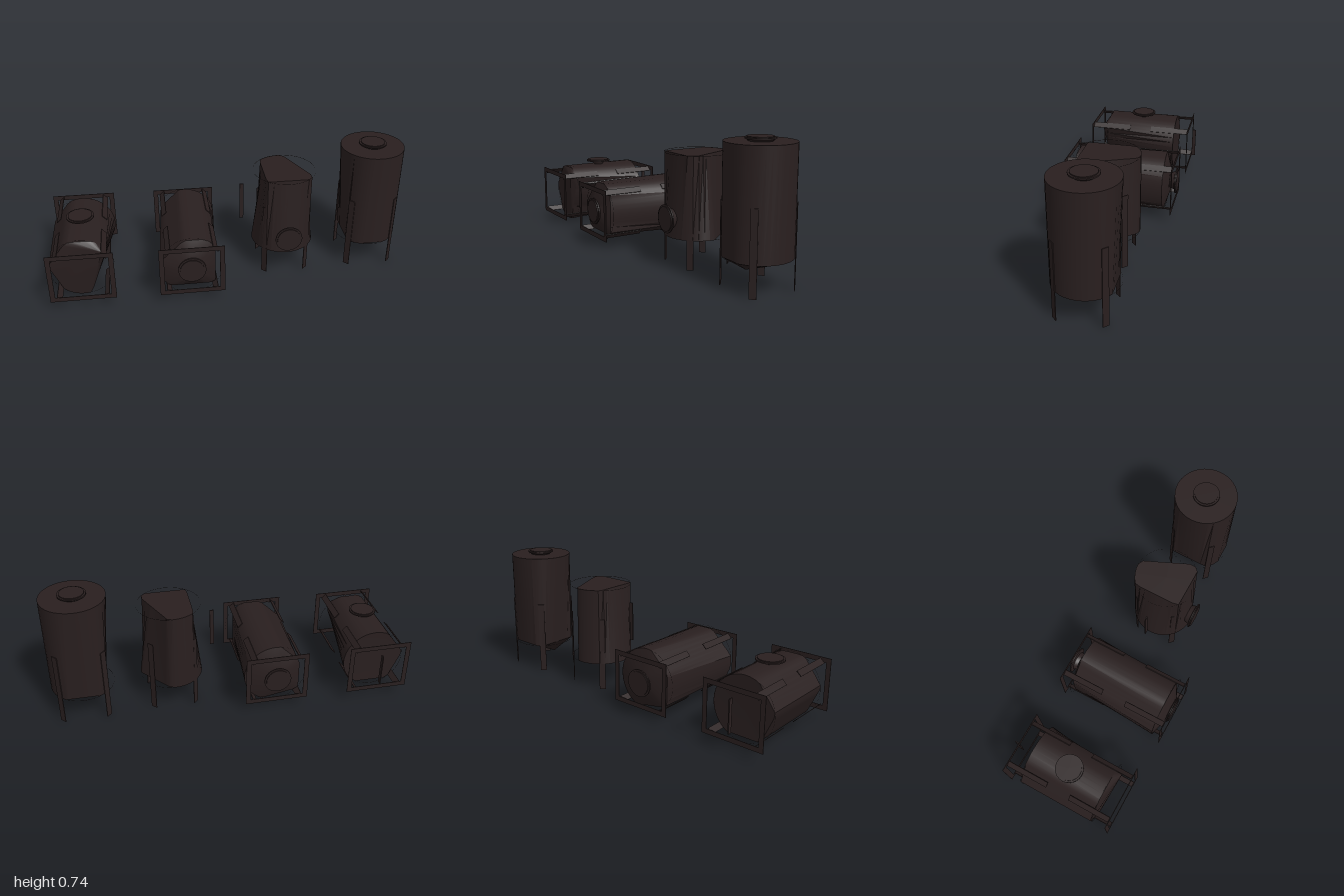
import * as THREE from 'three';
import { toCreasedNormals } from 'three/addons/utils/BufferGeometryUtils.js';

const steel = new THREE.MeshStandardMaterial({ color: 0x291f1f, side: THREE.DoubleSide });
steel.name = 'darkSteel';
const R = 0.176;
const SEGS = 36;

function mesh(name, geometry, parent) {
  const m = new THREE.Mesh(geometry, steel);
  m.name = name;
  parent.add(m);
  return m;
}

// Shell lofted along y; each ring may have flattened sides: [angle in degrees, distance from axis]
function shell(rings) {
  const pos = [], index = [];
  rings.forEach(({ y, r, x = 0, z = 0, flats = [] }, i) => {
    for (let j = 0; j < SEGS; j++) {
      const a = (j / SEGS) * Math.PI * 2;
      let d = r;
      for (const [deg, dist] of flats) {
        const c = Math.cos(a - deg * Math.PI / 180);
        if (c > 0.01) d = Math.min(d, dist / c);
      }
      pos.push(x + d * Math.cos(a), y, z + d * Math.sin(a));
      if (i < rings.length - 1) {
        const p = i * SEGS + j, q = i * SEGS + (j + 1) % SEGS;
        index.push(p, p + SEGS, q, q, p + SEGS, q + SEGS);
      }
    }
  });
  const g = new THREE.BufferGeometry();
  g.setAttribute('position', new THREE.Float32BufferAttribute(pos, 3));
  g.setIndex(index);
  return toCreasedNormals(g, 0.5);
}

// Flanged hatch: narrow neck, wide flange and a raised lid, opening along +y
function hatch(parent, neck, height) {
  const profile = [[neck, 0], [neck + 0.01, height - 0.016], [0.076, height - 0.012], [0.076, height - 0.005],
    [0.066, height - 0.005], [0.066, height], [0, height]].map(([x, y]) => new THREE.Vector2(x, y));
  return mesh('hatch', toCreasedNormals(new THREE.LatheGeometry(profile, 24), 0.5), parent);
}

// Thin seam hoop around the shell
function hoop(parent, y) {
  mesh('hoop', new THREE.CylinderGeometry(R, R, 0.002, SEGS, 1, true), parent).position.y = y;
}

// Four flat legs on the diagonals
function legs(parent, bottom, top, radius) {
  for (let i = 0; i < 4; i++) {
    const a = Math.PI / 4 + i * Math.PI / 2;
    const leg = mesh('leg', new THREE.BoxGeometry(0.036, top - bottom, 0.004), parent);
    leg.position.set(Math.sin(a) * radius, (top + bottom) / 2, Math.cos(a) * radius);
    leg.rotation.y = a;
  }
}

// Rectangular end frame
function endFrame(parent, y) {
  const rect = (path, w, h) => path.moveTo(-w, -h).lineTo(w, -h).lineTo(w, h).lineTo(-w, h).closePath();
  const s = rect(new THREE.Shape(), 0.177, 0.147);
  s.holes.push(rect(new THREE.Path(), 0.15, 0.12));
  const f = mesh('endFrame', new THREE.ExtrudeGeometry(s, { depth: 0.003, bevelEnabled: false }), parent);
  f.rotation.x = Math.PI / 2;
  f.position.y = y + 0.0015;
}

function tank(root, name, x, y, z, lying) {
  const g = new THREE.Group();
  g.name = name;
  g.position.set(x, y, z);
  if (lying) g.rotation.x = Math.PI / 2; // tank axis runs along z, front at +z
  root.add(g);
  return g;
}

export function createModel() {
  const root = new THREE.Group();
  root.name = 'storageTanks';

  // Tall standing tank with a pointed base
  const tall = tank(root, 'tallTank', 0.823, 0, -0.032, false);
  mesh('shell', shell([
    { y: 0.075, r: 0, x: -0.06, z: 0.025 },
    { y: 0.16, r: R, flats: [[180, 0.13], [-90, 0.15], [90, 0.165]] },
    { y: 0.712, r: 0.177 },
    { y: 0.712, r: 0 },
  ]), tall);
  hoop(tall, 0.16);
  legs(tall, 0, 0.428, 0.179);
  hatch(tall, 0.058, 0.024).position.y = 0.711;

  // Short standing tank, its top cut back on three sides
  const short = tank(root, 'shortTank', 0.32, 0, -0.015, false);
  mesh('shell', shell([
    { y: 0.16, r: 0 },
    { y: 0.16, r: R, flats: [[-40, 0.131]] },
    { y: 0.6, r: R, flats: [[-24, 0.092], [180, 0.12], [90, 0.135]] },
    { y: 0.6, r: 0 },
  ]), short);
  hoop(short, 0.16);
  hoop(short, 0.6);
  legs(short, 0, 0.428, 0.17);
  const sideHatch = hatch(short, 0.05, 0.05);
  sideHatch.rotation.x = Math.PI / 2;
  sideHatch.position.set(0.003, 0.26, 0.153);

  // Long lying tank, hatches at both ends
  const long = tank(root, 'longLyingTank', -0.235, 0.209, 0, true);
  mesh('shell', shell([
    { y: -0.268, r: 0 },
    { y: -0.268, r: 0.07 },
    { y: -0.24, r: R, flats: [[180, 0.14], [100, 0.145], [-134, 0.145]] },
    { y: 0.288, r: R, flats: [[0, 0.13], [90, 0.125], [-90, 0.163], [-134, 0.145]] },
    { y: 0.322, r: 0.078 },
    { y: 0.322, r: 0 },
  ]), long);
  hatch(long, 0.06, 0.025).position.y = 0.314;
  const backHatch = hatch(long, 0.045, 0.045);
  backHatch.rotation.x = Math.PI;
  backHatch.position.y = -0.265;

  // Lying tank with a hatch on top and a skewed front
  const lying = tank(root, 'lyingTank', -0.825, 0.209, 0, true);
  const corners = [[-143, 0.158], [156, 0.155]];
  mesh('shell', shell([
    { y: -0.205, r: 0 },
    { y: -0.21, r: R, flats: [[90, 0.15], ...corners] },
    { y: 0.232, r: R, flats: [[20, 0.095], [-90, 0.167], ...corners] },
    { y: 0.268, r: 0, x: 0.115, z: -0.115 },
  ]), lying);
  const topHatch = hatch(lying, 0.025, 0.045);
  topHatch.rotation.x = -Math.PI / 2;
  topHatch.position.set(0, 0.015, -0.157);

  // Hoops, legs and end frames of the lying tanks
  for (const [g, backHoop, frontHoop, back, front] of [
    [long, -0.24, 0.29, -0.295, 0.338], [lying, -0.21, 0.23, -0.302, 0.326]]) {
    hoop(g, backHoop);
    hoop(g, frontHoop);
    endFrame(g, back);
    endFrame(g, front);
    legs(g, back, back + 0.245, 0.179);
    legs(g, front - 0.245, front, 0.179);
  }

  // Loose upright plates
  mesh('gaugePlate', new THREE.BoxGeometry(0.022, 0.222, 0.006), root).position.set(0.08, 0.415, -0.012);
  mesh('backPlate', new THREE.BoxGeometry(0.006, 0.182, 0.022), root).position.set(-0.828, 0.213, -0.329);

  return root;
}
